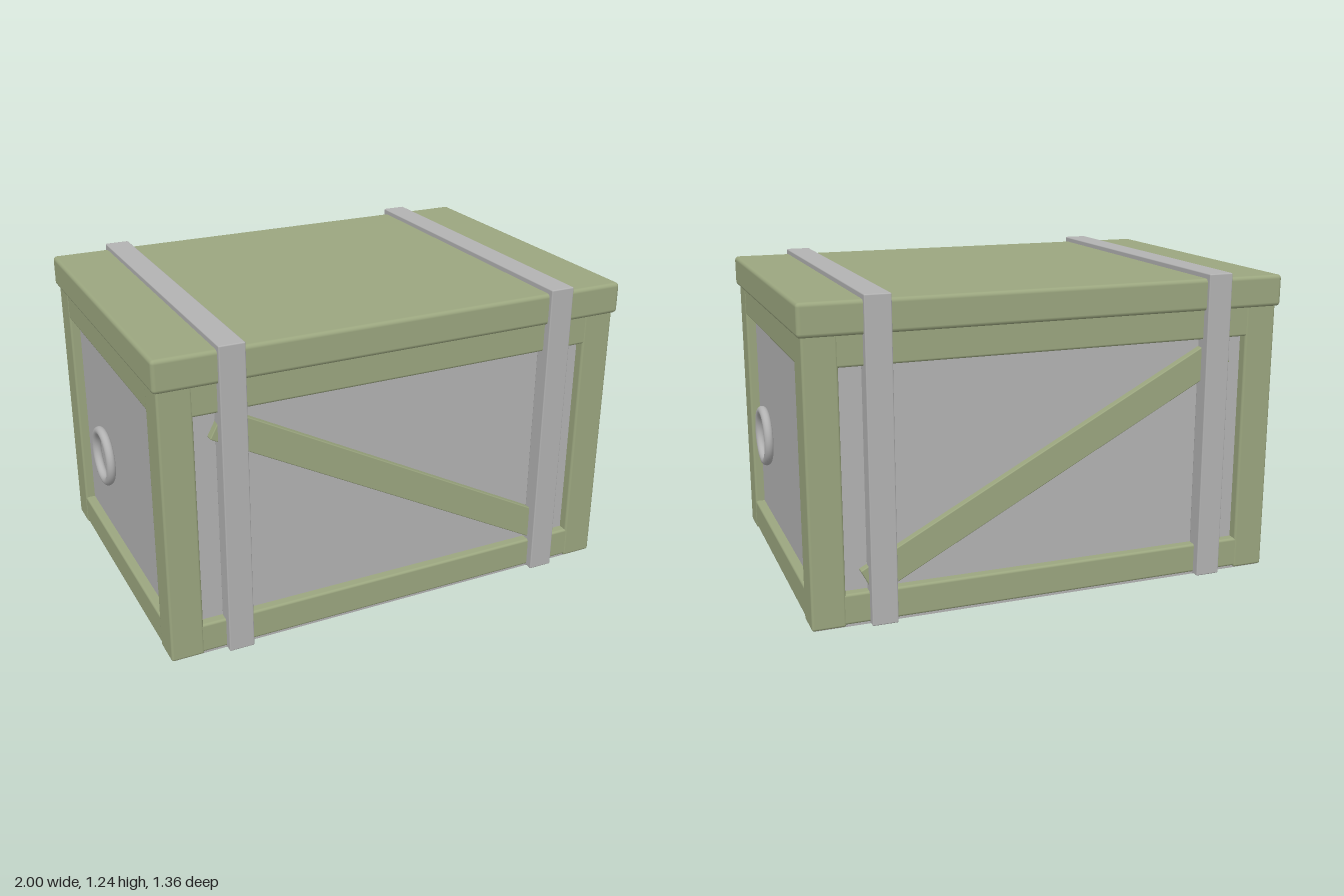
import * as THREE from 'three';
import { RoundedBoxGeometry } from 'three/addons/geometries/RoundedBoxGeometry.js';

const green = new THREE.MeshStandardMaterial({ color: 0x9ba67f });
green.name = 'olive paint';
const grey = new THREE.MeshStandardMaterial({ color: 0xb2b2b2 });
grey.name = 'grey metal';

// Box given by its min and max corners; radius 0 keeps the edges sharp
function block(name, material, min, max, radius = 0.01) {
  const s = max.map((v, i) => v - min[i]);
  const geometry = radius > 0
    ? new RoundedBoxGeometry(s[0], s[1], s[2], 2, radius)
    : new THREE.BoxGeometry(...s);
  const mesh = new THREE.Mesh(geometry, material);
  mesh.name = name;
  mesh.position.set(...max.map((v, i) => (v + min[i]) / 2));
  return mesh;
}

export function createModel() {
  const crate = new THREE.Group();
  crate.name = 'crate';

  // Recessed panels on all four sides, and the floor
  crate.add(block('panels', grey, [-0.91, 0.01, -0.61], [0.91, 1.12, 0.61], 0));
  crate.add(block('floor', grey, [-0.94, 0, -0.64], [0.94, 0.012, 0.64], 0));

  // Lid
  crate.add(block('lid', green, [-0.965, 1.095, -0.665], [0.965, 1.22, 0.665], 0.016));

  // Corner posts
  for (const x of [-0.885, 0.885]) {
    for (const z of [-0.585, 0.585]) {
      crate.add(block('cornerPost', green,
        [x - 0.065, 0.003, z - 0.065], [x + 0.065, 1.11, z + 0.065]));
    }
  }

  // Top and bottom rails between the posts
  for (const [name, y0, y1] of [['bottomRail', 0.01, 0.13], ['topRail', 0.98, 1.11]]) {
    for (const s of [-1, 1]) {
      const z = s * 0.595, x = s * 0.895;
      crate.add(block(name, green, [-0.84, y0, z - 0.053], [0.84, y1, z + 0.053]));
      crate.add(block(name, green, [x - 0.053, y0, -0.54], [x + 0.053, y1, 0.54]));
    }
  }

  // Diagonal braces, front and back
  for (const s of [-1, 1]) {
    const brace = block('diagonalBrace', green, [-0.828, 0.485, -0.03], [0.828, 0.605, 0.03], 0.004);
    brace.position.z = s * 0.61;
    brace.rotation.z = -0.488;
    crate.add(brace);
  }

  // Straps over the lid and down both long sides
  for (const x of [-0.68, 0.68]) {
    const strap = new THREE.Group();
    strap.name = 'strap';
    strap.add(block('strapTop', grey, [x - 0.05, 1.18, -0.68], [x + 0.05, 1.24, 0.68], 0.005));
    for (const s of [-1, 1]) {
      strap.add(block('strapSide', grey,
        [x - 0.05, 0.004, s * 0.645 - 0.035], [x + 0.05, 1.24, s * 0.645 + 0.035], 0.005));
    }
    crate.add(strap);
  }

  // Ring handles
  for (const s of [-1, 1]) {
    const ring = new THREE.Mesh(new THREE.TorusGeometry(0.102, 0.018, 16, 48), grey);
    ring.name = 'ringHandle';
    ring.position.set(s * 0.982, 0.58, 0);
    ring.rotation.y = Math.PI / 2;
    crate.add(ring);
  }

  return crate;
}
